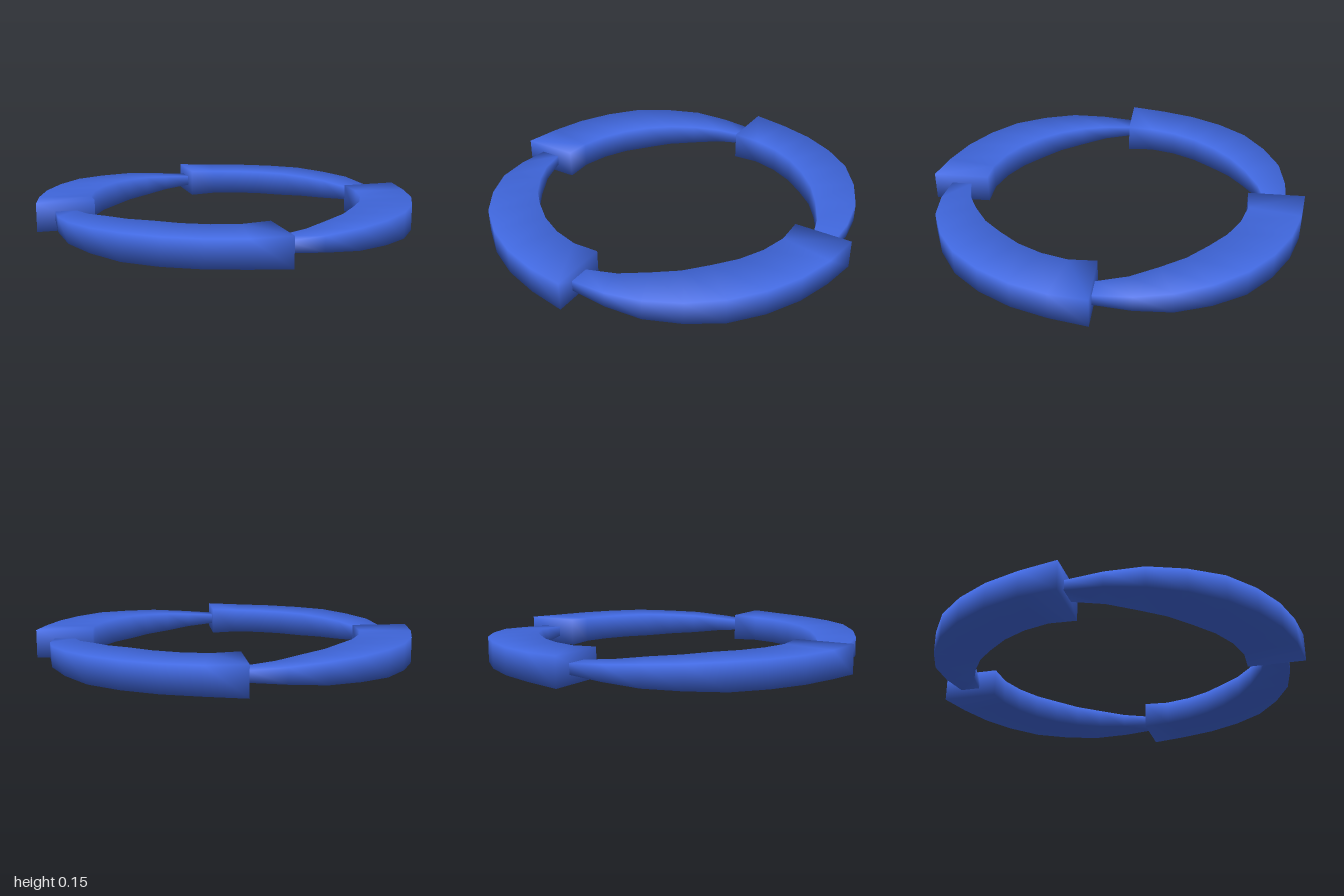
import * as THREE from 'three';

const RADIUS = 0.865;
const MID_Y = 0.075;
// Half width of the arc at equal angle steps, thin tail to thick end
const HALF_WIDTHS = [0.054, 0.078, 0.106, 0.12, 0.134, 0.135, 0.136, 0.138, 0.15];
// Section corners (radial, vertical); the section is twice as wide as high
const CORNERS = [[1, 0.5], [1, -0.5], [-1, -0.5], [-1, 0.5]];

// Quarter arc swept from a rectangular section, smooth shaded, capped at both ends
function arcGeometry() {
  const positions = [];
  const index = [];
  const last = HALF_WIDTHS.length - 1;
  HALF_WIDTHS.forEach((w, i) => {
    const a = -Math.PI / 4 + (i / last) * (Math.PI / 2);
    for (const [u, v] of CORNERS) {
      const r = RADIUS + u * w;
      positions.push(r * Math.sin(a), MID_Y + v * w, r * Math.cos(a));
    }
    if (i === last) return;
    for (let j = 0; j < 4; j++) {
      const p = i * 4 + j;
      const q = i * 4 + ((j + 1) % 4);
      index.push(p, q, q + 4, p, q + 4, p + 4);
    }
  });
  const e = last * 4;
  index.push(0, 2, 1, 0, 3, 2); // tail cap
  index.push(e, e + 1, e + 2, e, e + 2, e + 3); // thick cap

  const geometry = new THREE.BufferGeometry();
  geometry.setAttribute('position', new THREE.Float32BufferAttribute(positions, 3));
  geometry.setIndex(index);
  geometry.computeVertexNormals();
  return geometry;
}

export function createModel() {
  const group = new THREE.Group();
  group.name = 'segmentedRing';
  const material = new THREE.MeshStandardMaterial({ color: 0x4169e1 });
  const geometry = arcGeometry();

  // Four tapered arcs, each tail meeting the thick end of the next
  ['frontArc', 'leftArc', 'backArc', 'rightArc'].forEach((name, i) => {
    const arc = new THREE.Mesh(geometry, material);
    arc.name = name;
    arc.rotation.y = (i * Math.PI) / 2;
    group.add(arc);
  });
  return group;
}
